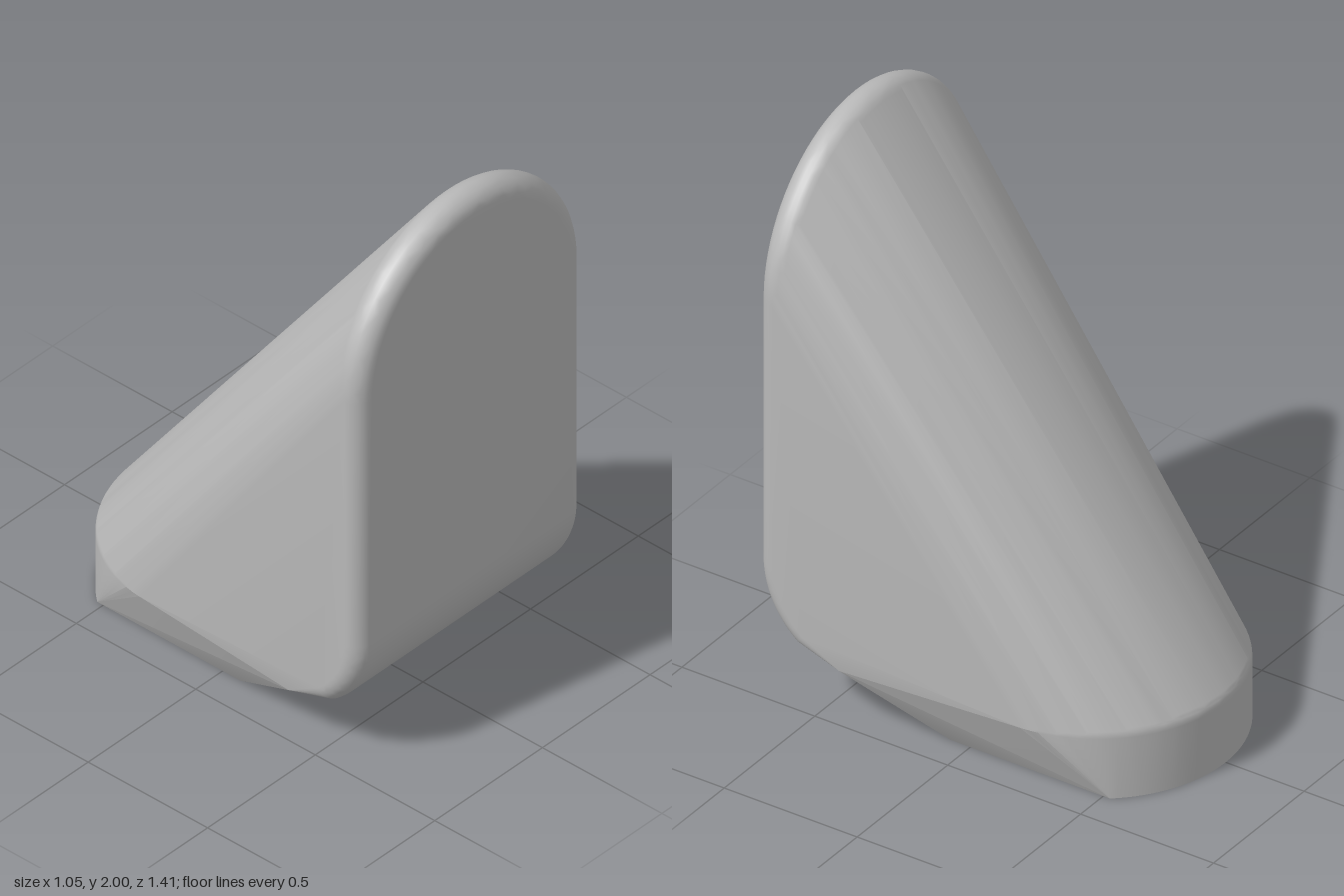
import * as THREE from 'three';
import { ConvexGeometry } from 'three/addons/geometries/ConvexGeometry.js';
import { toCreasedNormals } from 'three/addons/utils/BufferGeometryUtils.js';

const TUBE = 0.062;          // rounding of the front plate's rim
const FRONT = 0.705;         // z of the flat front
const HALF = 0.525;          // half width of the front plate
const BACK_Z = -0.225, BACK_R = 0.48; // round heel

export function createModel() {
  const points = [];
  const add = (x, y, z) => points.push(new THREE.Vector3(x, y, z));

  // Arched top rim: a half torus
  const archY = 2 - HALF, rimZ = FRONT - TUBE;
  for (let i = 0; i <= 40; i++) {
    const a = (i / 40) * Math.PI;
    for (let j = 0; j <= 12; j++) {
      const b = -Math.PI / 2 + (j / 12) * Math.PI;
      const r = HALF - TUBE + TUBE * Math.cos(b);
      add(r * Math.cos(a), archY + r * Math.sin(a), rimZ + TUBE * Math.sin(b));
    }
  }

  // Curved lower front with rounded sides
  const bendR = 0.35, bendY = 0.52, bendZ = FRONT - bendR;
  for (let i = 0; i <= 14; i++) {
    const a = (i / 14) * 0.907;
    for (let j = 0; j <= 8; j++) {
      const b = (j / 8) * Math.PI / 2;
      const r = bendR - TUBE + TUBE * Math.sin(b);
      const x = HALF - TUBE + TUBE * Math.cos(b);
      for (const s of [-1, 1]) add(s * x, bendY - r * Math.sin(a), bendZ + r * Math.cos(a));
    }
  }

  // Lower side corners
  for (const s of [-1, 1]) add(s * 0.513, 0.21, 0.4);

  // Round heel with a softened upper edge
  for (let i = 0; i <= 48; i++) {
    const a = Math.PI + (i / 48) * Math.PI;
    for (let j = 0; j <= 5; j++) {
      const b = (j / 5) * 0.65;
      const r = BACK_R - 0.06 + 0.06 * Math.cos(b);
      add(r * Math.cos(a), 0.22 + 0.06 * Math.sin(b), BACK_Z + r * Math.sin(a));
    }
  }

  // Foot: a circle trimmed by two straight sides
  const trim = Math.acos(0.375 / BACK_R);
  for (const s of [-1, 1]) {
    for (let i = 0; i <= 32; i++) {
      const a = trim + (i / 32) * (Math.PI - 2 * trim);
      add(BACK_R * Math.cos(a), 0, BACK_Z + s * BACK_R * Math.sin(a));
    }
  }

  const grey = new THREE.MeshStandardMaterial({ color: 0xb8b8b8 });
  grey.name = 'grey';
  const body = new THREE.Mesh(toCreasedNormals(new ConvexGeometry(points), 0.3), grey);
  body.name = 'wedgeBody';

  const model = new THREE.Group();
  model.name = 'roundedWedge';
  model.add(body);
  return model;
}
